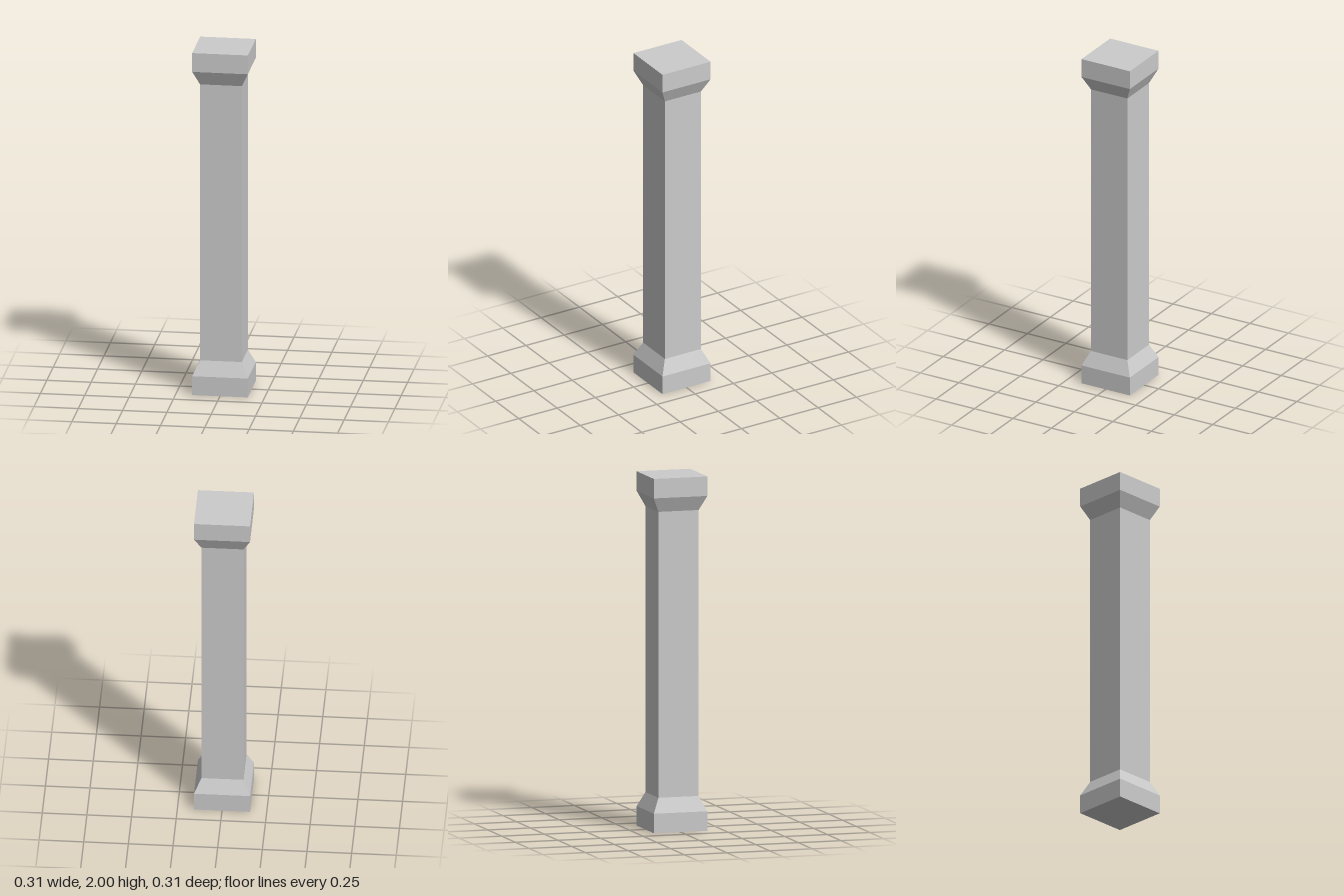
import * as THREE from 'three';

const END = 0.157;   // half width of base and capital
const SHAFT = 0.118; // half width of shaft

export function createModel() {
  const group = new THREE.Group();
  group.name = 'squareColumn';
  const material = new THREE.MeshStandardMaterial({ color: 0xcccccc, flatShading: true });

  // Four-sided lathe: profile of [half width, height] from bottom to top
  function addSquarePart(name, profile) {
    const points = profile.map(([w, y]) => new THREE.Vector2(w * Math.SQRT2, y));
    const geometry = new THREE.LatheGeometry(points, 4, Math.PI / 4).toNonIndexed();
    geometry.computeVertexNormals();
    const mesh = new THREE.Mesh(geometry, material);
    mesh.name = name;
    group.add(mesh);
  }

  // Base block with a taper up to the shaft
  addSquarePart('base', [[0, 0], [END, 0], [END, 0.11], [SHAFT, 0.193]]);
  // Plain square shaft
  addSquarePart('shaft', [[SHAFT, 0.193], [SHAFT, 1.807]]);
  // Capital mirrors the base
  addSquarePart('capital', [[SHAFT, 1.807], [END, 1.89], [END, 2], [0, 2]]);

  return group;
}
